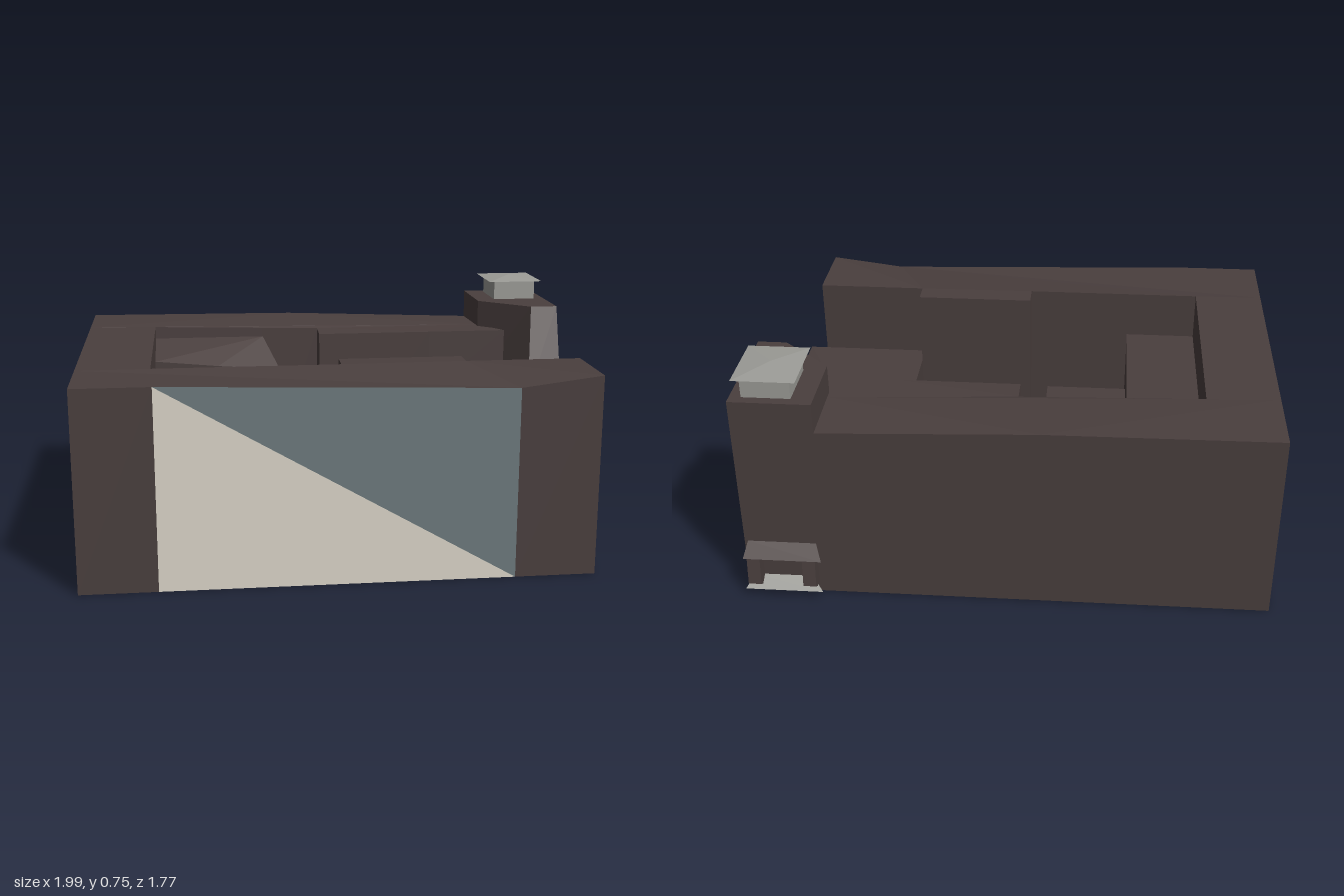
import * as THREE from 'three';

const paint = (name, color) => {
  const m = new THREE.MeshStandardMaterial({ color, side: THREE.DoubleSide });
  m.name = name;
  return m;
};

export function createModel() {
  const brown = paint('dark brown wall', 0x4a3f3e);
  const beige = paint('beige panel', 0xdcd7ca);
  const glass = paint('blue grey glass', 0x6d7a7d);
  const grey = paint('light grey', 0x9c9c97);

  const model = new THREE.Group();
  model.name = 'courtyardBuilding';
  // The building is planned on its own axes (x along the long side) and turned
  const plan = new THREE.Group();
  plan.name = 'building';
  plan.rotation.y = -0.532;
  plan.position.set(-0.41, 0, -0.89);
  model.add(plan);

  // Flat faces from a list of corners, three per triangle
  const faces = (name, tris, mat) => {
    const g = new THREE.BufferGeometry();
    g.setAttribute('position', new THREE.Float32BufferAttribute(tris.flat(), 3));
    g.computeVertexNormals();
    const mesh = new THREE.Mesh(g, mat);
    mesh.name = name;
    plan.add(mesh);
  };
  const quad = (a, b, c, d) => [a, b, c, a, c, d];
  const cap = (ring) => {
    const pts = ring.map((p) => new THREE.Vector2(p[0], p[2]));
    return THREE.ShapeUtils.triangulateShape(pts, []).flatMap(([a, b, c]) => [ring[a], ring[c], ring[b]]);
  };
  // Roof over a plan of [x, z, height, foot]: foot is where the wall to the
  // next point starts (ground by default, null for no wall)
  const prism = (name, pts, mat) => {
    const tris = cap(pts.map(([x, z, h]) => [x, h, z]));
    pts.forEach(([x, z, h, foot = 0], i) => {
      const [x2, z2, h2] = pts[(i + 1) % pts.length];
      if (foot !== null) tris.push(...quad([x, foot, z], [x2, foot, z2], [x2, h2, z2], [x, h, z]));
    });
    faces(name, tris, mat);
  };
  const box = (name, x0, x1, y0, y1, z0, z1, mat) => {
    const mesh = new THREE.Mesh(new THREE.BoxGeometry(x1 - x0, y1 - y0, z1 - z0), mat);
    mesh.position.set((x0 + x1) / 2, (y0 + y1) / 2, (z0 + z1) / 2);
    mesh.name = name;
    plan.add(mesh);
  };

  // Three tall wings around the court; two outer walls are left for panels
  const H = 0.605, L = 0.575;
  prism('mainWings', [
    [0, 0, H], [0, 0.24, H, null], [0, 0.93, H], [0, 1.16, H],
    [0.23, 1.16, H, null], [1.276, 1.16, L], [1.518, 1.16, H], [1.518, 0.92, H, 0.36],
    [1.165, 0.92, H, 0.36], [1.165, 0.85, H], [0.785, 0.85, H], [0.785, 0.925, H],
    [0.45, 0.925, H, 0.45], [0.22, 0.925, H, 0.45], [0.22, 0.235, 0.6, 0.54],
    [0.59, 0.235, 0.59], [0.78, 0.235, 0.585], [0.78, 0.32, 0.58],
    [1.165, 0.32, 0.58, 0.36], [1.43, 0.32, 0.58, null], [1.36, 0.2, 0.58, null],
    [1.36, 0, L], [0.7, 0, 0.6],
  ], brown);

  // Diagonally divided wall panels
  faces('sidePanelGlass', [[0, H, 0.24], [0, 0, 0.24], [0, H, 0.93]], glass);
  faces('sidePanelBeige', [[0, H, 0.93], [0, 0, 0.24], [0, 0, 0.93]], beige);
  faces('frontPanelBeige', [[0.23, H, 1.16], [0.23, 0, 1.16], [1.276, 0, 1.16]], beige);
  faces('frontPanelGlass', [[0.23, H, 1.16], [1.276, 0, 1.16], [1.276, L, 1.16]], glass);

  // Paired window panes on the side piers
  for (const z of [0.065, 0.118, 0.995, 1.048])
    box('pierWindow', -0.004, 0.002, 0.14, 0.29, z, z + 0.045, glass);

  // Small triangular openings on the back wall and inside the panels
  for (const y of [0.18, 0.36, 0.48])
    for (const x of [0.69, 0.79, 1.1, 1.26])
      faces('backWindow', [[x, y, -0.004], [x + 0.03, y, -0.004], [x + 0.03, y + 0.03, -0.004]], brown);
  const innerWindow = (x, y) =>
    faces('innerWindow', [[x, y, 1.155], [x + 0.05, y, 1.155], [x, y + 0.07, 1.155]], brown);
  for (const x of [0.33, 0.4, 0.55, 0.72, 0.86, 0.92, 1.05, 1.17]) innerWindow(x, 0.05);
  for (const y of [0.15, 0.28, 0.42]) innerWindow(1.2, y);
  for (const z of [0.32, 0.45, 0.58, 0.71, 0.84])
    for (const y of [0.05, 0.25])
      faces('innerSideWindow', [[0.005, y, z], [0.005, y, z + 0.05], [0.005, y + 0.07, z]], brown);

  // Low range closing the court, with its outer bay
  prism('lowRange', [
    [1.165, 0.32, 0.37], [1.165, 0.85, 0.36, null], [1.165, 0.92, 0.36, null],
    [1.518, 0.92, 0.36], [1.575, 0.92, 0.36], [1.575, 0.68, 0.36],
    [1.46, 0.68, 0.37], [1.47, 0.46, 0.38, null], [1.47, 0.32, 0.38, null],
  ], brown);

  // Stepped roofs inside the court
  prism('courtStepUpper', [
    [0.22, 0.385, 0.45, null], [0.22, 0.925, 0.45, null], [0.45, 0.925, 0.45],
    [0.45, 0.8, 0.45, 0.3], [0.45, 0.385, 0.45, null],
  ], brown);
  prism('courtStepLower', [
    [0.45, 0.385, 0.3, null], [0.45, 0.8, 0.3], [0.72, 0.8, 0.3],
    [0.72, 0.385, 0.3], [0.65, 0.37, 0.3, null],
  ], brown);
  prism('courtCornerRoof', [
    [0.22, 0.235, 0.56, null], [0.22, 0.385, 0.51, 0.45], [0.43, 0.385, 0.49, 0.3],
    [0.64, 0.365, 0.47], [0.59, 0.235, 0.56, null],
  ], brown);

  // Corner tower with a leaning front, open to the wings at its foot
  const foot = [[1.355, 0], [1.355, 0.23], [1.485, 0.465], [1.6, 0.465], [1.6, 0]];
  const head = [[1.355, 0], [1.355, 0.23], [1.51, 0.37], [1.6, 0.37], [1.6, 0]];
  const level = (pts, y) => pts.map(([x, z]) => [x, y, z]);
  const rings = [level(foot, 0), level(foot, 0.38), level(head, 0.67)];
  const tower = cap(rings[2]);
  for (let i = 0; i < 5; i++) {
    const j = (i + 1) % 5;
    if (i > 1) tower.push(...quad(rings[0][i], rings[0][j], rings[1][j], rings[1][i]));
    tower.push(...quad(rings[1][i], rings[1][j], rings[2][j], rings[2][i]));
  }
  faces('tower', tower, brown);

  // Lantern on the tower with a thin roof
  box('towerLantern', 1.42, 1.565, 0.67, 0.735, 0.03, 0.2, grey);
  const eaves = [[1.398, 0.735, 0.008], [1.398, 0.735, 0.222], [1.585, 0.735, 0.222], [1.585, 0.735, 0.008]];
  const peak = [1.49, 0.746, 0.115];
  faces('lanternRoof', eaves.flatMap((p, i) => [p, eaves[(i + 1) % 4], peak]), grey);
  faces('lanternSoffit', quad(...eaves), grey);

  // Small porch on the back of the tower
  for (const x of [1.38, 1.55])
    faces('porchPost', [
      ...quad([x, 0.05, -0.045], [x + 0.04, 0.05, -0.045], [x + 0.04, 0.14, -0.035], [x, 0.14, -0.035]),
      ...quad([x, 0.05, -0.045], [x, 0.14, -0.035], [x, 0.17, 0], [x, 0.02, 0]),
    ], brown);
  faces('porchCanopy', quad([1.36, 0.14, -0.04], [1.6, 0.14, -0.04], [1.59, 0.18, 0], [1.38, 0.18, 0]), brown);
  faces('porchStep', [
    ...quad([1.36, 0.03, -0.045], [1.6, 0.03, -0.045], [1.58, 0.055, 0], [1.4, 0.055, 0]),
    ...quad([1.36, 0.03, -0.045], [1.6, 0.03, -0.045], [1.58, 0, 0], [1.4, 0, 0]),
  ], grey);

  return model;
}
